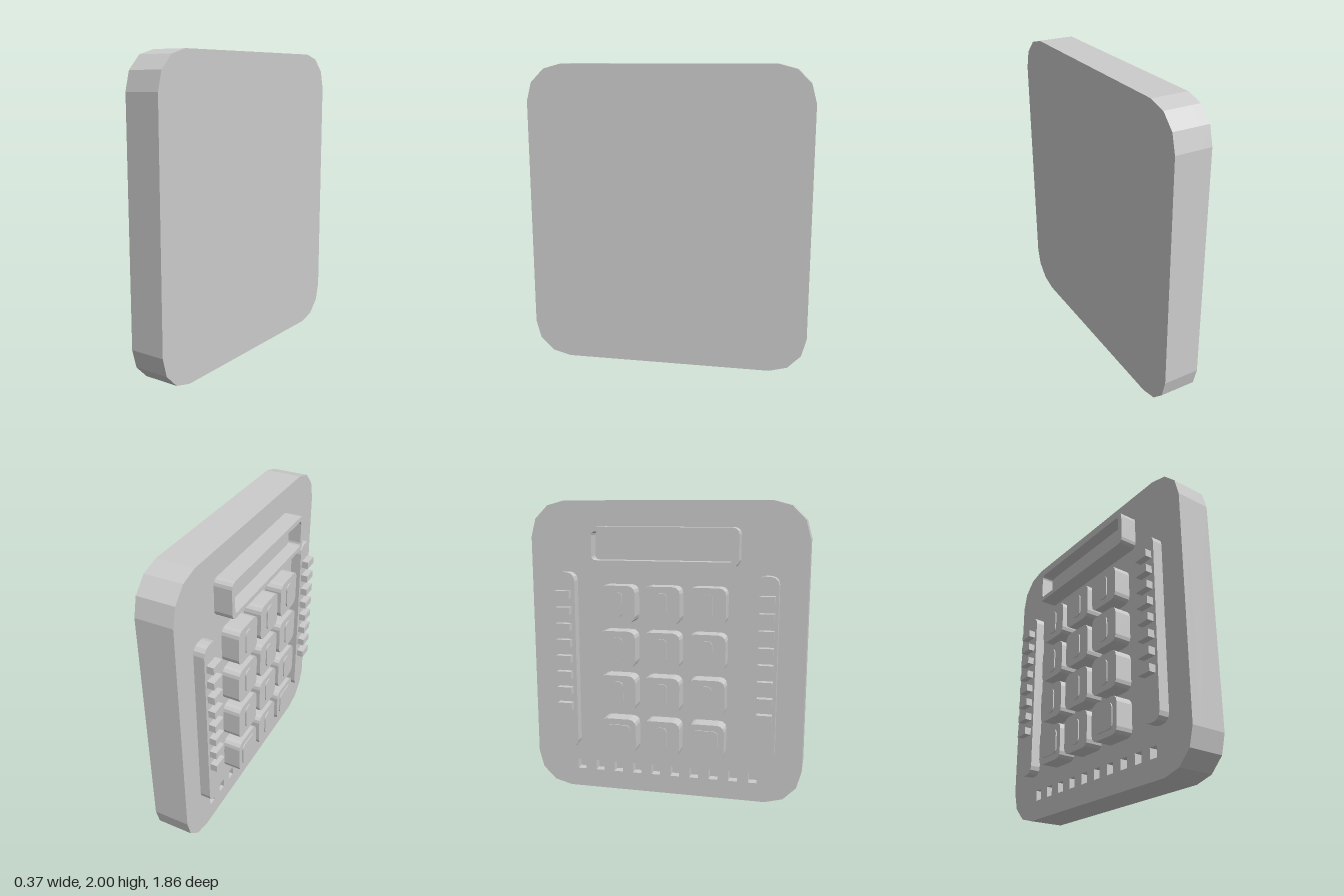
import * as THREE from 'three';

const material = new THREE.MeshStandardMaterial({ color: 0xcccccc, flatShading: true });

// Rounded rectangle outline with three facets per corner
function outline(cx, cy, w, h, r) {
  const pts = [];
  const corners = [[1, 1], [-1, 1], [-1, -1], [1, -1]];
  corners.forEach(([sx, sy], i) => {
    for (let k = 0; k <= 3; k++) {
      const a = (i + k / 3) * Math.PI / 2;
      pts.push(new THREE.Vector2(
        cx + sx * (w / 2 - r) + r * Math.cos(a),
        cy + sy * (h / 2 - r) + r * Math.sin(a)));
    }
  });
  return pts;
}

// Square-cornered outline, used for slots
function rect(cx, cy, w, h) {
  return [[-1, -1], [1, -1], [1, 1], [-1, 1]].map(([a, b]) =>
    new THREE.Vector2(cx + a * w / 2, cy + b * h / 2));
}

// Slab between two depths, with optional holes
function slab(name, pts, from, to, holes = []) {
  const shape = new THREE.Shape(pts);
  holes.forEach(h => shape.holes.push(new THREE.Path(h)));
  const geo = new THREE.ExtrudeGeometry(shape, { depth: to - from, bevelEnabled: false });
  geo.translate(0, 0, from);
  const mesh = new THREE.Mesh(geo, material);
  mesh.name = name;
  return mesh;
}

export function createModel() {
  const model = new THREE.Group();
  model.name = 'keypad';

  // The panel is laid out facing +z, then turned to face -x
  const panel = new THREE.Group();
  panel.name = 'panel';
  panel.rotation.y = -Math.PI / 2;
  model.add(panel);

  // Housing: solid back and a front plate pierced by a row of slots
  const slots = [];
  for (let i = 0; i < 10; i++) slots.push(rect(-0.605 + i * 0.1345, 0.165, 0.06, 0.07));
  const body = outline(0, 1, 1.86, 2, 0.24);
  panel.add(slab('housingBack', body, -0.18, 0));
  panel.add(slab('housingFront', body, 0, 0.06, slots));

  // Display: raised frame around a recessed screen
  panel.add(slab('displayFrame', outline(0, 1.71, 1, 0.245, 0.04), 0.06, 0.177,
    [outline(0, 1.71, 0.93, 0.185, 0.025)]));
  panel.add(slab('displayScreen', rect(0, 1.71, 0.95, 0.2), 0.06, 0.09));

  // Side rails with eight teeth each
  for (const s of [-1, 1]) {
    const rail = new THREE.Group();
    rail.name = s < 0 ? 'railNear' : 'railFar';
    rail.add(slab('railBase', outline(s * 0.678, 0.918, 0.145, 1.225, 0.055), 0.06, 0.13));
    for (let i = 0; i < 8; i++) {
      rail.add(slab('railTooth', rect(s * 0.68, 1.385 - i * 0.11, 0.1, 0.05), 0.13, 0.177));
    }
    panel.add(rail);
  }

  // Keys in four rows of three, each with a plain raised mark
  for (let row = 0; row < 4; row++) {
    for (let col = 0; col < 3; col++) {
      const x = (col - 1) * 0.3, y = 1.332 - row * 0.301;
      const key = new THREE.Group();
      key.name = 'key';
      key.add(slab('keyCap', outline(x, y, 0.248, 0.245, 0.045), 0.06, 0.177));
      const wide = row === 3 && col !== 1;
      key.add(slab('keyMark', outline(x, y, wide ? 0.17 : 0.08, 0.165, 0.03), 0.177, 0.185));
      panel.add(key);
    }
  }
  return model;
}
